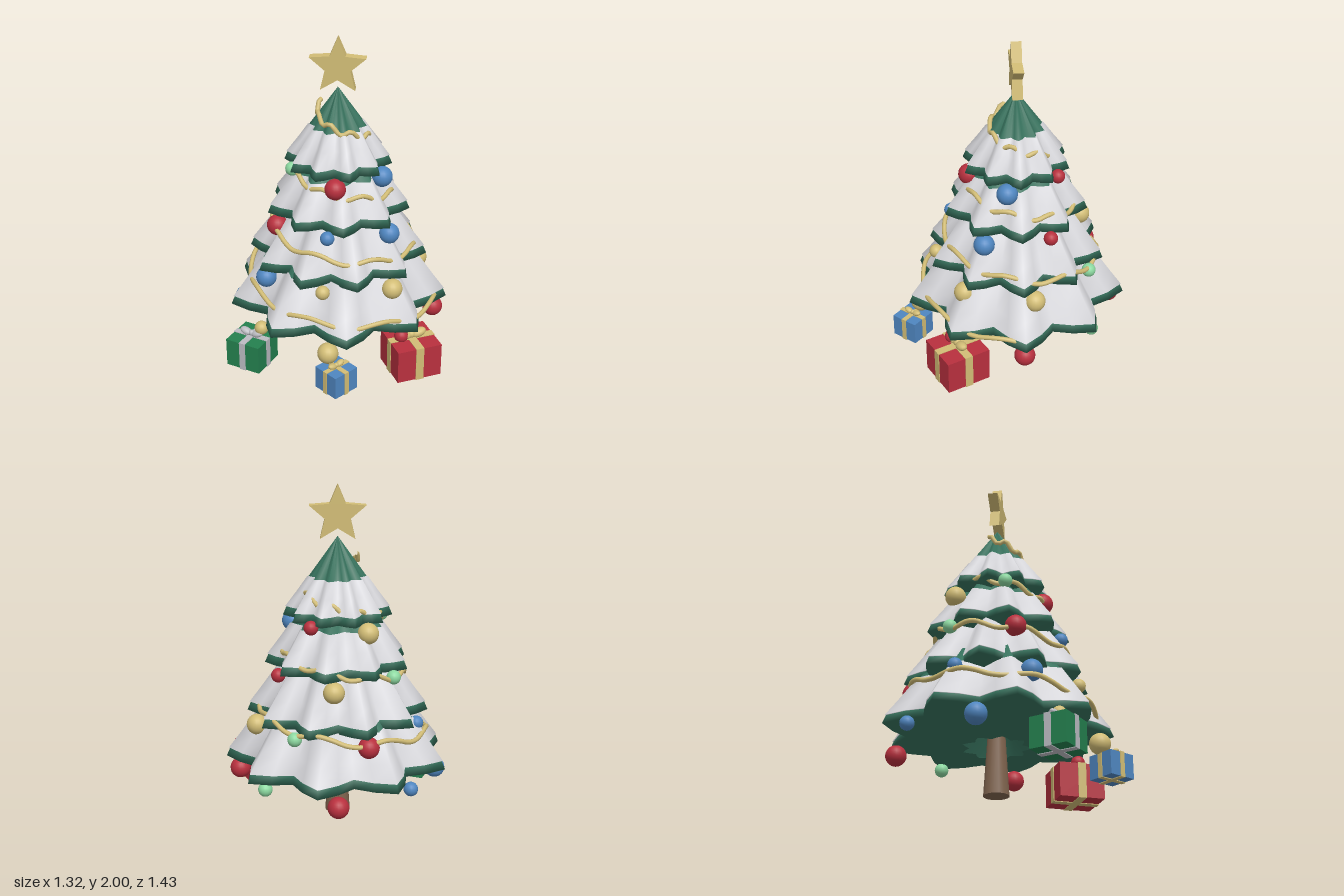
import * as THREE from 'three';

const paint = (name, hex) => {
  const m = new THREE.MeshStandardMaterial({ color: hex });
  m.name = name;
  return m;
};

export function createModel() {
  const tree = new THREE.Group();
  tree.name = 'decoratedTree';
  const mats = {
    fir: paint('firGreen', 0x37735e),
    snow: paint('snowWhite', 0xd8d8dc),
    gold: paint('gold', 0xd2bd76),
    red: paint('red', 0xb8303e),
    blue: paint('blue', 0x4f86c0),
    mint: paint('mint', 0x8cd8a0),
    bark: paint('bark', 0x80644e),
    wrap: paint('wrappingGreen', 0x24804f),
    silver: paint('silver', 0xbcbcc2),
  };
  mats.fir.side = THREE.DoubleSide;

  const add = (parent, name, geometry, material, x = 0, y = 0, z = 0) => {
    const mesh = new THREE.Mesh(geometry, material);
    mesh.name = name;
    mesh.position.set(x, y, z);
    parent.add(mesh);
    return mesh;
  };

  // Fluted surface of revolution with pointed lobes, profile of [radius, y]
  function fluted(profile, lobes) {
    const pos = [], index = [], segs = lobes * 4;
    profile.forEach(([r, y], i) => {
      for (let j = 0; j < segs; j++) {
        const a = (j / segs) * Math.PI * 2;
        const k = r * (0.885 + 0.115 * Math.cos(lobes * a));
        pos.push(k * Math.cos(a), y, k * Math.sin(a));
        if (i === profile.length - 1) continue;
        const p = i * segs + j, q = i * segs + (j + 1) % segs;
        index.push(p, p + segs, q, q, p + segs, q + segs);
      }
    });
    const g = new THREE.BufferGeometry();
    g.setAttribute('position', new THREE.Float32BufferAttribute(pos, 3));
    g.setIndex(index);
    g.computeVertexNormals();
    return g;
  }

  // Branch tiers, each with a softly shaded green body and a band of snow
  const tiers = [
    { R: 0.672, y: 0.35, lobes: 9, snowTop: 0.3 },
    { R: 0.54, y: 0.645, lobes: 10, snowTop: 0.3 },
    { R: 0.43, y: 0.945, lobes: 9, snowTop: 0.24 },
    { R: 0.32, y: 1.235, lobes: 10, snowTop: 0.23 },
  ];
  tiers.forEach(({ R, y, lobes, snowTop }, i) => {
    const group = new THREE.Group();
    group.name = 'tier' + (i + 1);
    const edge = R - 0.022, mid = R - 0.155, tip = Math.max(0.002, R - 0.335);
    add(group, 'branches', fluted([
      [0.3 * R, y - 0.1 * R], [R, y], [edge, y + 0.052],
      [mid, y + 0.235], [tip, y + 0.464], [0.001, y + 0.465],
    ], lobes), mats.fir);
    const lerp = (t) => edge + (mid - edge) * t;
    const top = lerp((snowTop - 0.052) / 0.183);
    add(group, 'snow', fluted([
      [edge, y + 0.05], [edge + 0.008, y + 0.052],
      [lerp(0.5) + 0.006, y + 0.1435], [top + 0.008, y + snowTop], [top - 0.01, y + snowTop + 0.002],
    ], lobes), mats.snow);
    tree.add(group);
  });

  add(tree, 'trunk', new THREE.CylinderGeometry(0.052, 0.075, 0.36, 16), mats.bark, 0, 0.18, 0);

  // Star on top
  const star = new THREE.Shape();
  for (let i = 0; i < 10; i++) {
    const r = i % 2 ? 0.078 : 0.172, a = Math.PI / 2 + (i * Math.PI) / 5;
    star[i ? 'lineTo' : 'moveTo'](r * Math.cos(a), r * Math.sin(a));
  }
  star.closePath();
  add(tree, 'star', new THREE.ExtrudeGeometry(star, { depth: 0.06, bevelEnabled: false }),
    mats.gold, 0, 1.828, -0.03);

  // Garland spiralling up through the branches
  const path = [];
  const TURNS = 3.55;
  for (let i = 0; i <= 140; i++) {
    const t = (i / 140) * TURNS, a = t * Math.PI * 2, r = 0.605 - 0.14 * t;
    path.push(new THREE.Vector3(
      r * Math.cos(a), 0.365 + 0.347 * t + 0.02 * Math.sin(a * 8), r * Math.sin(a)));
  }
  add(tree, 'garland', new THREE.TubeGeometry(new THREE.CatmullRomCurve3(path), 320, 0.014, 8), mats.gold);

  // Rings of baubles, alternating large and small
  const rings = [
    { r: 0.59, y: 0.272, start: 0, colors: 'red red gold gold blue blue red mint' },
    { r: 0.485, y: 0.577, start: 43.4, colors: 'gold gold blue blue red mint gold' },
    { r: 0.385, y: 0.88, start: 33.5, colors: 'blue blue red mint gold red' },
    { r: 0.277, y: 1.18, start: 87.5, colors: 'red mint gold red blue' },
  ];
  const large = new THREE.SphereGeometry(0.062, 20, 14);
  const small = new THREE.SphereGeometry(0.042, 16, 12);
  rings.forEach(({ r, y, start, colors }) => {
    const list = colors.split(' ');
    list.forEach((c, i) => {
      const a = THREE.MathUtils.degToRad(start + (i * 360) / list.length);
      add(tree, 'bauble', i % 2 ? small : large, mats[c],
        r * Math.cos(a), y + (i % 2) * 0.037, r * Math.sin(a));
    });
  });

  // Wrapped presents with crossed ribbons and a bow
  function present(name, size, height, x, z, rot, box, ribbon) {
    const g = new THREE.Group();
    g.name = name;
    g.position.set(x, 0.077, z);
    g.rotation.y = rot;
    const w = size * 0.18, e = 0.008;
    add(g, 'box', new THREE.BoxGeometry(size, height, size), box, 0, height / 2, 0);
    add(g, 'ribbonAcross', new THREE.BoxGeometry(size + e, height + e, w), ribbon, 0, height / 2, 0);
    add(g, 'ribbonAlong', new THREE.BoxGeometry(w, height + e, size + e), ribbon, 0, height / 2, 0);
    const loop = new THREE.SphereGeometry(size * 0.16, 14, 10);
    for (const s of [-1, 1]) {
      const m = add(g, 'bowLoop', loop, ribbon, s * size * 0.17, height + size * 0.09, 0);
      m.scale.set(1.1, 0.6, 0.7);
      m.rotation.z = s * 0.3;
    }
    add(g, 'bowKnot', new THREE.SphereGeometry(size * 0.085, 12, 8), ribbon, 0, height + size * 0.08, 0);
    tree.add(g);
  }
  present('redPresent', 0.275, 0.206, 0.475, 0.388, 0.45, mats.red, mats.gold);
  present('greenPresent', 0.222, 0.176, -0.478, 0.417, -0.385, mats.wrap, mats.silver);
  present('bluePresent', 0.172, 0.14, 0.055, 0.645, 0.85, mats.blue, mats.gold);

  return tree;
}
